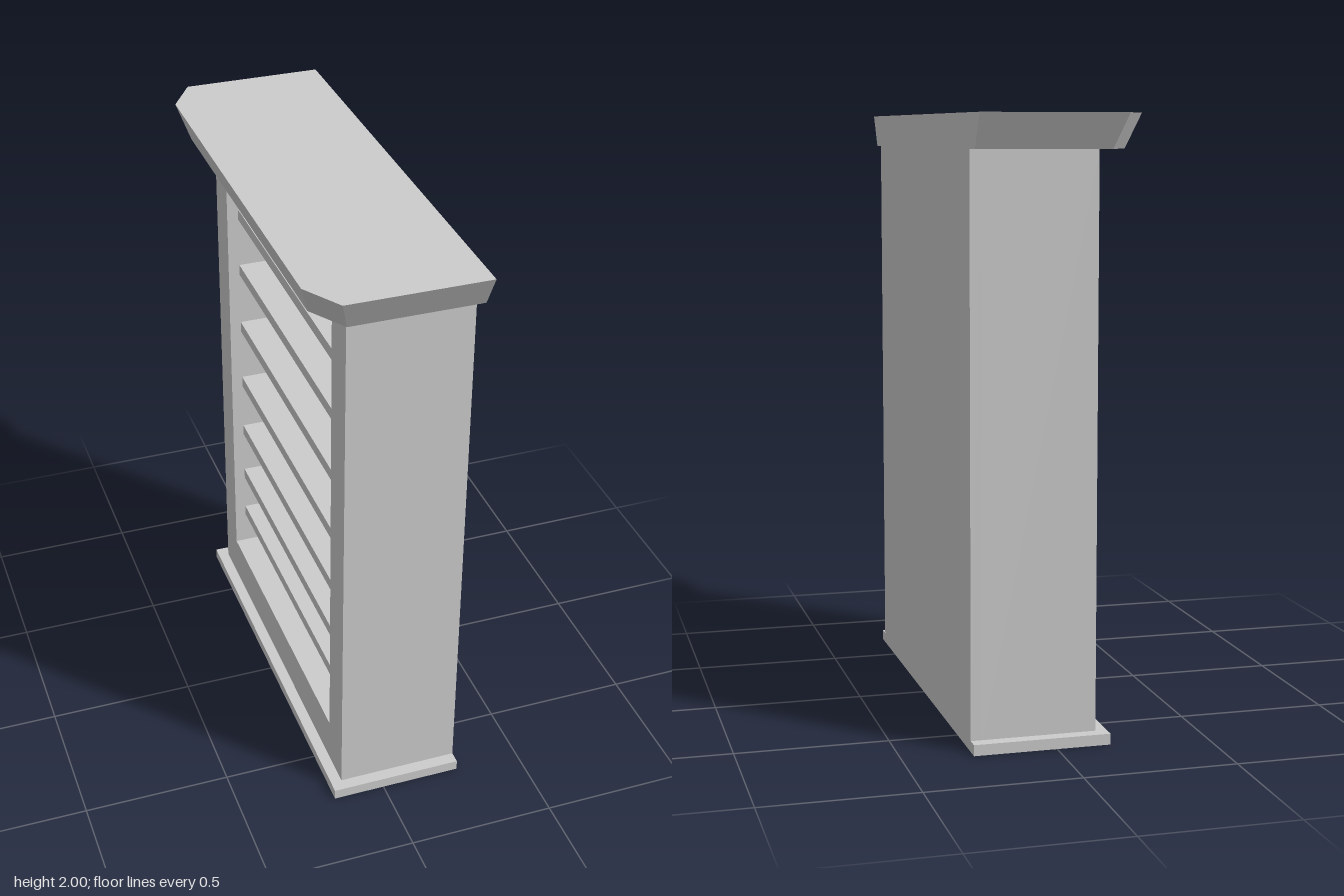
import * as THREE from 'three';
import { ConvexGeometry } from 'three/addons/geometries/ConvexGeometry.js';

const material = new THREE.MeshStandardMaterial({ color: 0xcccccc, flatShading: true });

// Box given by its limits on each axis
function box(name, [x0, x1], [y0, y1], [z0, z1]) {
  const mesh = new THREE.Mesh(new THREE.BoxGeometry(x1 - x0, y1 - y0, z1 - z0), material);
  mesh.position.set((x0 + x1) / 2, (y0 + y1) / 2, (z0 + z1) / 2);
  mesh.name = name;
  return mesh;
}

// Rectangle outline, symmetric about zero, drawn in the z-y plane
function outline(path, half, y0, y1) {
  path.moveTo(-half, y0);
  path.lineTo(half, y0);
  path.lineTo(half, y1);
  path.lineTo(-half, y1);
  path.closePath();
  return path;
}

export function createModel() {
  const group = new THREE.Group();
  group.name = 'bookcase';

  const back = 0.273, face = -0.14, inner = 0.235; // depth positions along x
  const half = 0.678, openHalf = 0.552;

  // Plinth
  group.add(box('base', [-0.178, back], [0, 0.036], [-0.72, 0.72]));

  // Carcass: one frame with the shelf opening cut through it
  const shape = outline(new THREE.Shape(), half, 0.036, 1.89);
  shape.holes.push(outline(new THREE.Path(), openHalf, 0.19, 1.87));
  const carcass = new THREE.Mesh(
    new THREE.ExtrudeGeometry(shape, { depth: inner - face, bevelEnabled: false }), material);
  carcass.rotation.y = -Math.PI / 2;
  carcass.position.x = inner;
  carcass.name = 'carcass';
  group.add(carcass);

  // Back panel
  group.add(box('backPanel', [inner, back], [0.036, 1.89], [-half, half]));

  // Shelves, spaced wider towards the top
  const shelves = new THREE.Group();
  shelves.name = 'shelves';
  for (const top of [0.35, 0.525, 0.725, 0.94, 1.175, 1.41, 1.63]) {
    shelves.add(box('shelf', [-0.1, inner], [top - 0.04, top], [-openHalf, openHalf]));
  }
  group.add(shelves);

  // Flared crown with clipped corners on the open side
  const points = [];
  for (const s of [-1, 1]) {
    for (const [x, y, z] of [
      [back, 2, 0.805], [-0.197, 2, 0.805], [-0.277, 2, 0.675],
      [back, 1.89, 0.745], [-0.162, 1.89, 0.745], [-0.24, 1.89, 0.62],
    ]) points.push(new THREE.Vector3(x, y, s * z));
  }
  const crown = new THREE.Mesh(new ConvexGeometry(points), material);
  crown.name = 'crown';
  group.add(crown);

  return group;
}
